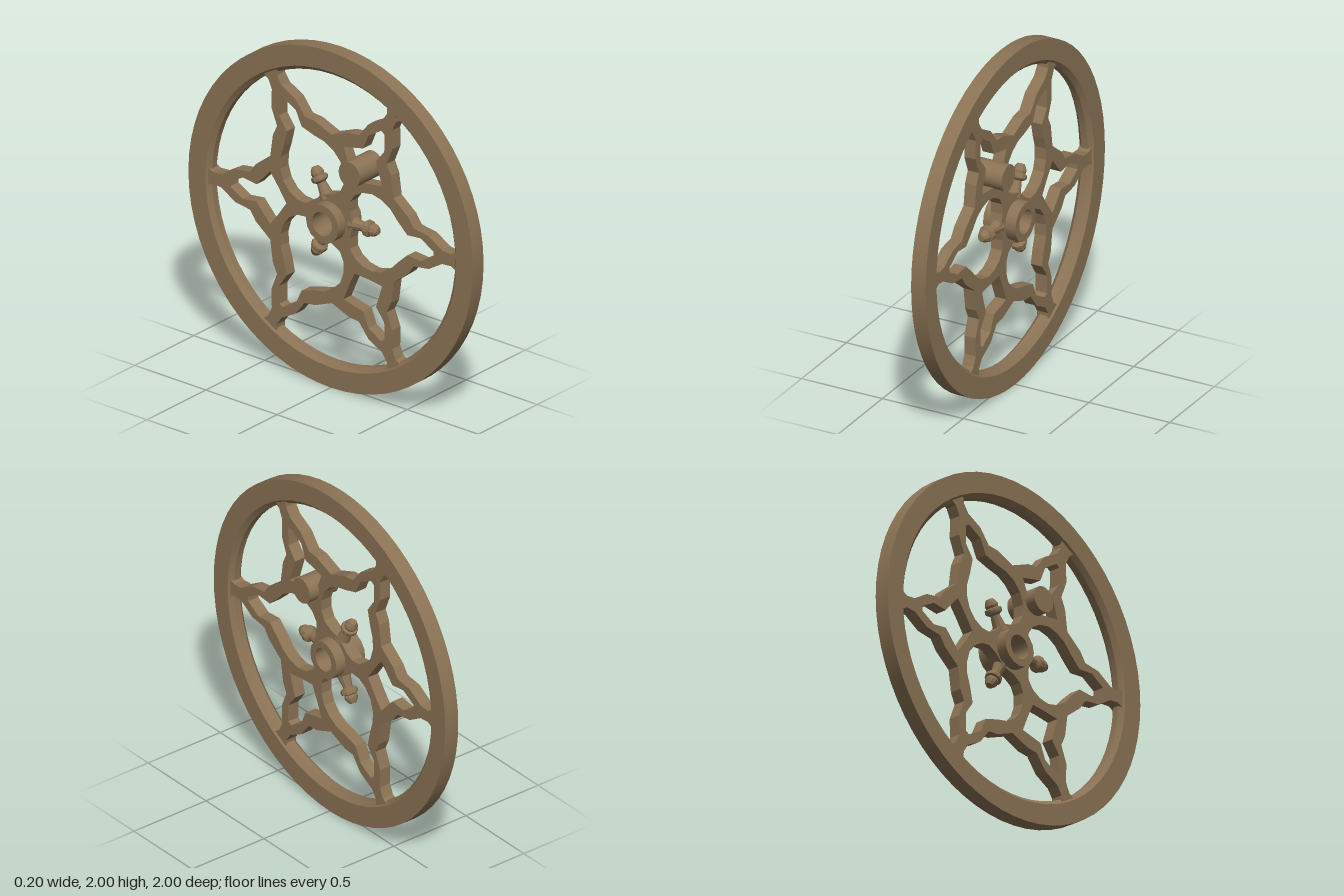
import * as THREE from 'three';
import { toCreasedNormals } from 'three/addons/utils/BufferGeometryUtils.js';

const V = (x, y) => new THREE.Vector2(x, y);

// Half outlines as [distance along spoke, half width]; mirrored about the spoke
const SPOKE = [[0.433, 0.25], [0.535, 0.17], [0.575, 0.113], [0.68, 0.098], [0.775, 0.04], [0.835, 0.035], [0.885, 0.06]];
const LOBE = [[0.145, 0], [0.125, 0.08], [0.127, 0.14], [0.16, 0.187], [0.215, 0.219], [0.283, 0.231],
  [0.35, 0.215], [0.41, 0.18], [0.46, 0.125], [0.53, 0.06], [0.625, 0.068], [0.715, 0.014]];
const DIAMOND = [[0.32, 0], [0.375, 0.08], [0.434, 0.157], [0.53, 0.052], [0.625, 0.064], [0.715, 0.014]];

const turn = ([a, b], t) => V(a * Math.cos(t) - b * Math.sin(t), a * Math.sin(t) + b * Math.cos(t));

// Full outline of a mirrored half outline, turned to angle t
function mirrored(half, t) {
  const lower = half.map(([a, b]) => [a, -b]);
  const upper = half.filter(([, b]) => b > 0).reverse();
  return [...lower, ...upper].map((p) => turn(p, t));
}

// Closed ring around local z from a counterclockwise [radius, depth] profile
function ring(profile, segments) {
  const pts = [...profile, profile[0]].map(([r, z]) => V(r, z));
  return toCreasedNormals(new THREE.LatheGeometry(pts, segments).rotateX(Math.PI / 2), 0.6);
}

export function createModel() {
  const iron = new THREE.MeshStandardMaterial({ color: 0x8b7355 });
  iron.name = 'brownIron';
  const model = new THREE.Group();
  model.name = 'ornateWheel';
  const wheel = new THREE.Group();
  wheel.name = 'wheel';
  wheel.position.y = 1;
  wheel.rotation.y = Math.PI / 2; // wheel axis along x
  model.add(wheel);

  const add = (name, geometry) => {
    const mesh = new THREE.Mesh(geometry, iron);
    mesh.name = name;
    wheel.add(mesh);
    return mesh;
  };

  // Rim with bevelled inner lip
  add('rim', ring([[1, -0.045], [1, 0.045], [0.88, 0.045], [0.855, 0.02], [0.855, -0.02], [0.88, -0.045]], 64));

  // Pierced tracery: six spokes, three lobes and three small diamonds
  const outline = [];
  for (let i = 0; i < 6; i++) {
    const t = (i * Math.PI) / 3;
    // the inner corner is shared with the next spoke
    outline.push(...mirrored(SPOKE, t).slice(0, -1));
  }
  const shape = new THREE.Shape(outline);
  for (let i = 0; i < 3; i++) {
    const t = (i * 2 * Math.PI) / 3;
    shape.holes.push(new THREE.Path(mirrored(DIAMOND, t)));
    shape.holes.push(new THREE.Path(mirrored(LOBE, t + Math.PI / 3)));
  }
  const hubX = 0.015, hubY = -0.012;
  shape.holes.push(new THREE.Path().absarc(hubX, hubY, 0.09, 0, Math.PI * 2, true));
  const tracery = new THREE.ExtrudeGeometry(shape, { depth: 0.07, bevelEnabled: false, curveSegments: 16 });
  add('tracery', tracery.translate(0, 0, -0.035));

  // Hub tube
  add('hub', ring([[0.113, -0.1], [0.113, 0.1], [0.07, 0.1], [0.07, -0.1]], 16)).position.set(hubX, hubY, 0);

  // Crank pin through one arm
  const pin = add('crankPin', new THREE.CylinderGeometry(0.075, 0.075, 0.2, 24).rotateX(Math.PI / 2));
  pin.position.set(-0.176, 0.337, 0);

  // Turned finials pointing into the lobes
  const finialProfile = [[0.045, 0.115], [0.035, 0.15], [0.026, 0.205], [0.046, 0.218], [0.049, 0.23],
    [0.046, 0.243], [0.034, 0.248], [0.038, 0.262], [0.032, 0.28], [0.02, 0.298], [0, 0.3]].map(([r, y]) => V(r, y));
  for (let i = 0; i < 3; i++) {
    const geo = toCreasedNormals(new THREE.LatheGeometry(finialProfile, 10), 0.5);
    add('finial' + (i + 1), geo).rotation.z = Math.PI / 3 + (i * 2 * Math.PI) / 3 - Math.PI / 2;
  }
  return model;
}
